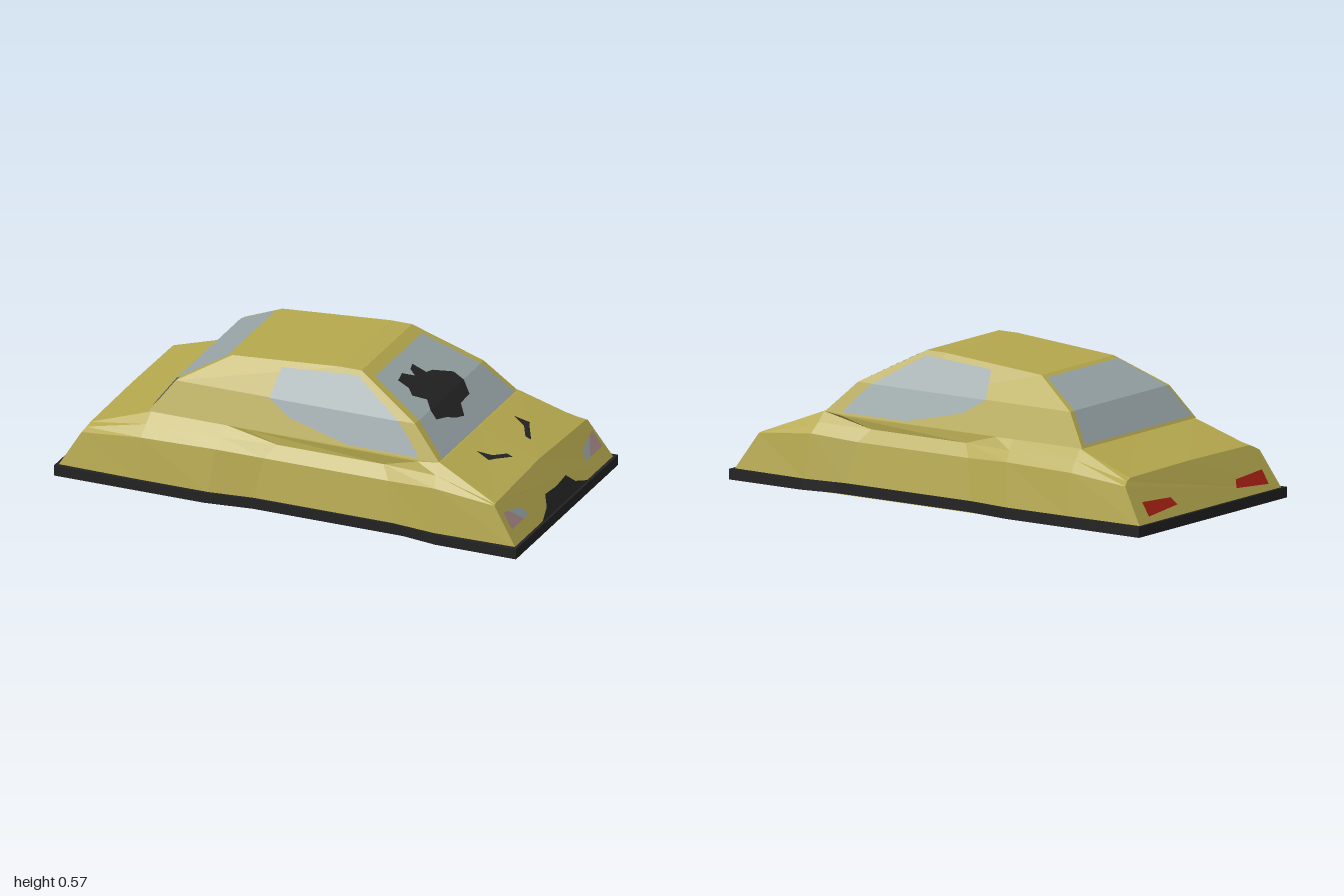
import * as THREE from 'three';

const mat = (name, color) => {
  const m = new THREE.MeshStandardMaterial({ color, side: THREE.DoubleSide });
  m.name = name;
  return m;
};

// Flat-faced geometry from a list of 3D polygons (fan triangulated)
function faces(polys) {
  const pos = [];
  for (const p of polys)
    for (let i = 1; i < p.length - 1; i++) pos.push(...p[0], ...p[i], ...p[i + 1]);
  const g = new THREE.BufferGeometry();
  g.setAttribute('position', new THREE.Float32BufferAttribute(pos, 3));
  g.computeVertexNormals();
  return g;
}

// Quads between neighbouring rows of points
function loft(rows, closed) {
  const out = [];
  for (let i = 0; i < rows.length - 1; i++) {
    const n = rows[i].length;
    for (let j = 0; j < (closed ? n : n - 1); j++) {
      const k = (j + 1) % n;
      out.push([rows[i][j], rows[i][k], rows[i + 1][k], rows[i + 1][j]]);
    }
  }
  return out;
}

// Thin plate: 2D outline laid onto a surface by a mapping function
function plate(outline, map) {
  const v = outline.map(([a, b]) => new THREE.Vector2(a, b));
  const tris = THREE.ShapeUtils.triangulateShape(v, []);
  return faces(tris.map((t) => t.map((i) => map(...outline[i]))));
}

// Piecewise-linear lookup: table of [input, output]
function lerpTable(table, t) {
  let i = 0;
  while (i < table.length - 2 && t > table[i + 1][0]) i++;
  const [a, b] = [table[i], table[i + 1]];
  return a[1] + ((t - a[0]) / (b[0] - a[0])) * (b[1] - a[1]);
}

export function createModel() {
  const car = new THREE.Group();
  const yellow = mat('yellow paint', 0xb5a84e);
  const black = mat('black trim', 0x232323);
  const glass = mat('grey glass', 0x98a4a6);
  const pink = mat('pink lens', 0xaa8a8a);
  const red = mat('red lens', 0xa82014);
  const add = (name, geo, material) => {
    const m = new THREE.Mesh(geo, material);
    m.name = name;
    car.add(m);
  };

  // Skirt: plan outline, waisted along the doors
  const half = [[-1, 0.5], [-0.35, 0.5], [-0.15, 0.475], [0.5, 0.475], [0.65, 0.5], [1, 0.5]];
  const plan = [...half, ...half.map(([x, z]) => [x, -z]).reverse()];
  const skirt = new THREE.ExtrudeGeometry(
    new THREE.Shape(plan.map(([x, z]) => new THREE.Vector2(x, z))),
    { depth: 0.043, bevelEnabled: false });
  skirt.rotateX(Math.PI / 2).translate(0, 0.045, 0);
  add('skirt', skirt, black);
  add('underPanel', faces([[[-0.98, 0, -0.475], [0.98, 0, -0.475], [0.98, 0, 0], [-0.98, 0, 0]]]), yellow);

  // Lower body: each station lists sill, shoulder, belt, deck edge and deck centre (x, y, z)
  const stations = [
    [[-0.99, 0.04, 0.48], [-0.9, 0.19, 0.455], [-0.89, 0.205, 0.43], [-0.885, 0.215, 0.4], [-0.885, 0.22, 0]],
    [[-0.64, 0.04, 0.487], [-0.64, 0.215, 0.46], [-0.635, 0.26, 0.423], [-0.63, 0.3, 0.385], [-0.63, 0.3, 0]],
    [[-0.34, 0.04, 0.487], [-0.32, 0.22, 0.455], [-0.31, 0.26, 0.42], [-0.3, 0.3, 0.386], [-0.3, 0.3, 0]],
    [[-0.15, 0.04, 0.465], [-0.12, 0.21, 0.435], [-0.08, 0.26, 0.396], [-0.22, 0.3, 0.39], [-0.22, 0.3, 0]],
    [[0.45, 0.04, 0.465], [0.42, 0.21, 0.435], [0.38, 0.26, 0.396], [0.53, 0.3, 0.4], [0.53, 0.3, 0]],
    [[0.64, 0.04, 0.487], [0.63, 0.225, 0.46], [0.62, 0.265, 0.423], [0.62, 0.305, 0.385], [0.62, 0.305, 0]],
    [[0.99, 0.04, 0.48], [0.888, 0.195, 0.455], [0.886, 0.198, 0.445], [0.885, 0.2, 0.43], [0.878, 0.21, 0]],
  ].map((s) => [...s, ...s.slice(0, 4).reverse().map(([x, y, z]) => [x, y, -z])]);
  add('lowerBody', faces([
    ...loft(stations).map((q) => [...q].reverse()),
    stations[0],
    [...stations[6]].reverse(),
  ]), yellow);

  // Cabin: three stacked rings and a roof
  const rings = [
    [[-0.64, 0.3], [0.13, 0.3], [0.62, 0.3], 0.385],
    [[-0.545, 0.43], [0.12, 0.43], [0.49, 0.43], 0.335],
    [[-0.34, 0.54], [0.13, 0.575], [0.22, 0.575], 0.245],
  ].map(([a, b, c, z]) => [
    ...[a, b, c].map(([x, y]) => [x, y, z]),
    ...[c, b, a].map(([x, y]) => [x, y, -z]),
  ]);
  const r = rings[2];
  add('cabin', faces([...loft(rings, true), [r[0], r[1], r[4], r[5]], [r[1], r[2], r[3], r[4]]]), yellow);

  // Surfaces the plates lie on
  const onWindshield = (off) => (z, y) =>
    [lerpTable([[0.3, 0.62], [0.43, 0.49], [0.575, 0.22]], y) + off, y + off / 2, z];
  const onRearGlass = (z, y) =>
    [lerpTable([[0.3, -0.64], [0.43, -0.545], [0.54, -0.34]], y) - 0.005, y + 0.002, z];
  const onNose = (side) => (z, y) => [0.997 - 0.656 * (y - 0.04), y, side * z];
  const onTail = (side) => (z, y) => [-0.998 + 0.6 * (y - 0.04), y, side * z];
  const onHood = (side) => (x, z) => [x, 0.313 - 0.375 * (x - 0.62), side * z];
  const onSide = (side) => (x, y) =>
    [x, y, side * (lerpTable([[0.3, 0.385], [0.43, 0.335], [0.575, 0.245]], y) + 0.005)];

  // Windshield and rear window, each folded at the cabin crease
  add('windshieldLower', plate([[0.355, 0.307], [-0.355, 0.307], [-0.3, 0.43], [0.3, 0.43]], onWindshield(0.004)), glass);
  add('windshieldUpper', plate([[0.3, 0.43], [-0.3, 0.43], [-0.23, 0.55], [0.23, 0.55]], onWindshield(0.004)), glass);
  add('rearWindowLower', plate([[0.365, 0.31], [-0.365, 0.31], [-0.315, 0.43], [0.315, 0.43]], onRearGlass), glass);
  add('rearWindowUpper', plate([[0.315, 0.43], [-0.315, 0.43], [-0.24, 0.53], [0.24, 0.53]], onRearGlass), glass);

  // Dark jagged patch on the windshield
  add('windshieldPatchUpper', plate([[0.2, 0.43], [0.15, 0.45], [0.19, 0.475], [0.16, 0.49], [0.16, 0.515], [0.1, 0.52],
    [0.06, 0.5], [0.04, 0.515], [0, 0.52], [-0.01, 0.49], [-0.05, 0.485], [-0.13, 0.455], [-0.125, 0.43]],
  onWindshield(0.008)), black);
  add('windshieldPatchLower', plate([[0.2, 0.43], [-0.125, 0.43], [-0.09, 0.39], [0, 0.388], [0.04, 0.355],
    [0.1, 0.368], [0.14, 0.385], [0.21, 0.4]], onWindshield(0.008)), black);

  // Grille
  add('grille', plate([[0.225, 0.047], [0.14, 0.075], [0.1, 0.112], [0, 0.106], [-0.1, 0.112], [-0.14, 0.075],
    [-0.225, 0.047]], onNose(1)), black);

  // Mirrored details
  for (const [label, side] of [['right', 1], ['left', -1]]) {
    add(label + 'SideWindowUpper', plate([[-0.137, 0.43], [0.42, 0.43], [0.21, 0.558], [-0.115, 0.54]], onSide(side)), glass);
    add(label + 'SideWindowLower', plate([[-0.137, 0.43], [-0.04, 0.37], [0.22, 0.31], [0.53, 0.31], [0.46, 0.39],
      [0.42, 0.43]], onSide(side)), glass);
    add(label + 'HeadlightOuter', plate([[0.435, 0.162], [0.395, 0.156], [0.325, 0.1], [0.442, 0.1]], onNose(side)), pink);
    add(label + 'HeadlightInner', plate([[0.395, 0.156], [0.305, 0.138], [0.278, 0.1], [0.325, 0.1]], onNose(side)), glass);
    add(label + 'TailLight', plate([[0.405, 0.07], [0.405, 0.125], [0.22, 0.115], [0.2, 0.085]], onTail(side)), red);
    add(label + 'HoodVent', plate([[0.69, 0.185], [0.75, 0.2], [0.765, 0.165], [0.805, 0.09], [0.78, 0.09],
      [0.745, 0.155]], onHood(side)), black);
  }
  return car;
}
